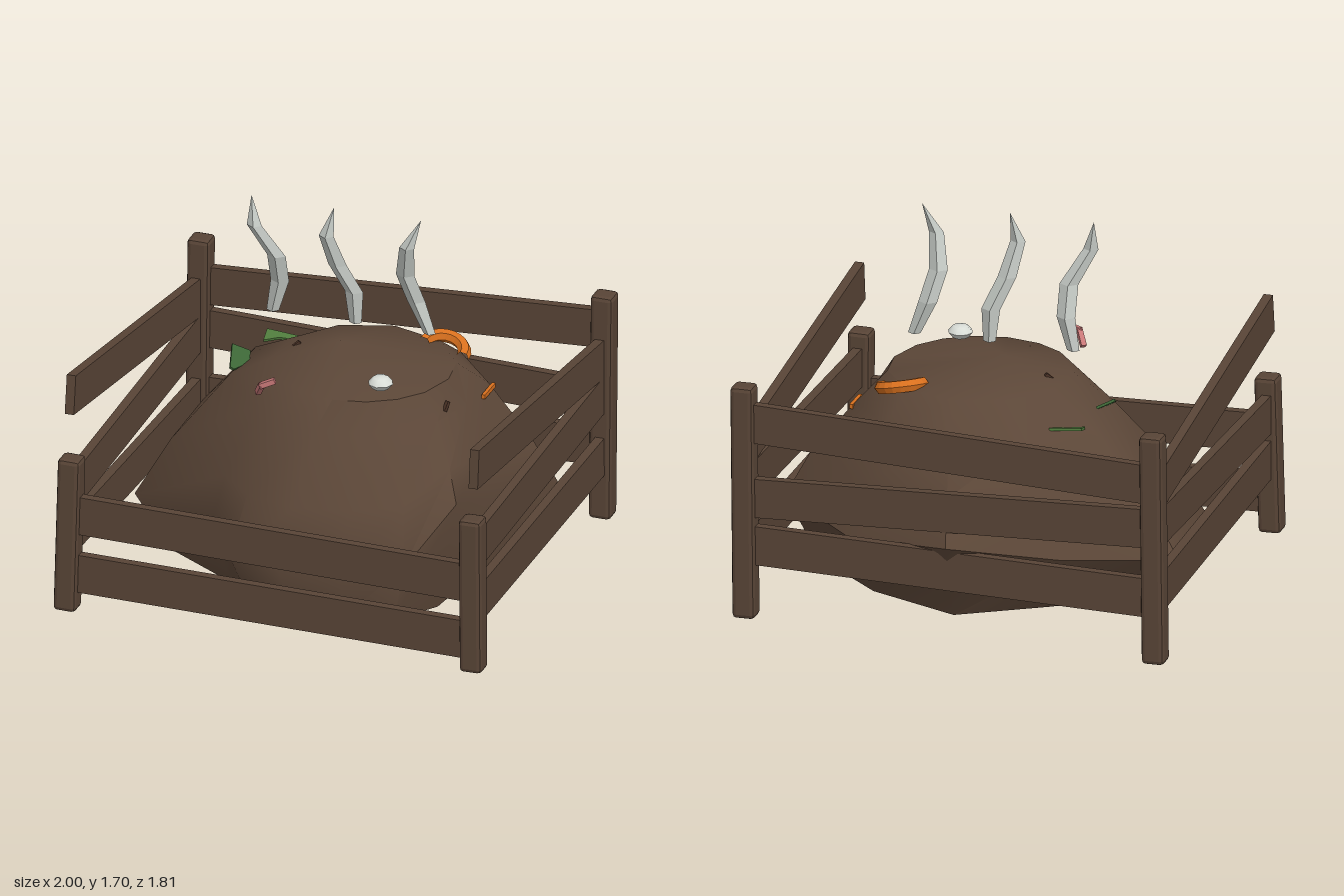
import * as THREE from 'three';
import { toCreasedNormals } from 'three/addons/utils/BufferGeometryUtils.js';
import { RoundedBoxGeometry } from 'three/addons/geometries/RoundedBoxGeometry.js';

const V = (x, y, z) => new THREE.Vector3(x, y, z);

// Joins closed rings of points, listed bottom to top and counter-clockwise from above
function loft(rings, crease) {
  const pos = [];
  const tri = (a, b, c) => {
    if (a.distanceTo(b) < 1e-5 || b.distanceTo(c) < 1e-5 || c.distanceTo(a) < 1e-5) return;
    pos.push(...a.toArray(), ...b.toArray(), ...c.toArray());
  };
  for (let i = 0; i < rings.length - 1; i++) {
    const n = rings[i].length;
    for (let j = 0; j < n; j++) {
      const k = (j + 1) % n;
      tri(rings[i][j], rings[i][k], rings[i + 1][k]);
      tri(rings[i][j], rings[i + 1][k], rings[i + 1][j]);
    }
  }
  const g = new THREE.BufferGeometry();
  g.setAttribute('position', new THREE.Float32BufferAttribute(pos, 3));
  g.computeVertexNormals();
  return crease ? toCreasedNormals(g, crease) : g;
}

export function createModel() {
  const model = new THREE.Group();
  const material = (name, color) => {
    const m = new THREE.MeshStandardMaterial({ color });
    m.name = name;
    return m;
  };
  const wood = material('wood', 0x584436);
  const soil = material('soil', 0x5c4738);
  const twig = material('twig', 0x4a3226);
  const smoke = material('steam', 0xc4c9c4);
  const shell = material('shell', 0xd8dcd6);
  const orange = material('orange peel', 0xd8701e);
  const leafGreen = material('leaf green', 0x4f7a3c);
  const darkGreen = material('dark green', 0x3c6636);
  const pink = material('pink', 0xc87878);

  const add = (name, geometry, mat, x = 0, y = 0, z = 0) => {
    const mesh = new THREE.Mesh(geometry, mat);
    mesh.name = name;
    mesh.position.set(x, y, z);
    model.add(mesh);
    return mesh;
  };

  // Chamfered corner posts, slightly leaning
  const post = (name, x, z, h, leanX, leanZ) => {
    const g = toCreasedNormals(new RoundedBoxGeometry(0.104, h, 0.104, 1, 0.02), 0.2);
    add(name, g, wood, x, h / 2, z).rotation.set(leanX, 0, leanZ);
  };
  post('frontRightPost', -0.94, 0.84, 0.73, -0.01, -0.025);
  post('frontLeftPost', 0.94, 0.84, 0.73, -0.01, 0.01);
  post('backRightPost', -0.94, -0.85, 1.06, 0.01, -0.015);
  post('backLeftPost', 0.94, -0.85, 1.08, 0.008, -0.012);

  // A square or flat bar running between two points
  const bar = (name, a, b, w, h, mat) => {
    const mesh = add(name, new THREE.BoxGeometry(w, h, a.distanceTo(b)), mat);
    mesh.position.copy(a).add(b).multiplyScalar(0.5);
    mesh.lookAt(b);
  };
  // Front and back boards: z, height at right end, height at left end
  for (const [name, z, y0, y1] of [
    ['frontPlank', 0.84, 0.18, 0.145], ['frontPlank', 0.84, 0.46, 0.42],
    ['backPlank', -0.85, 0.3, 0.34], ['backPlank', -0.85, 0.625, 0.56], ['backPlank', -0.85, 0.83, 0.91],
  ]) bar(name, V(-0.92, y0, z), V(0.92, y1, z), 0.042, 0.18, wood);
  // Side boards: x, height at back, height at front; the top ones hang free in front
  for (const [name, x, y0, y1] of [
    ['leftPlank', 0.94, 0.31, 0.3], ['leftPlank', 0.94, 0.61, 0.565], ['leftTopPlank', 0.94, 0.78, 0.96],
    ['rightPlank', -0.94, 0.3, 0.35], ['rightPlank', -0.94, 0.61, 0.56], ['rightTopPlank', -0.94, 0.78, 1.025],
  ]) bar(name, V(x, y0, -0.83), V(x, y1, 0.83), 0.042, 0.18, wood);

  // Compost heap: uneven outline (x, z, lift of the widest edge) that grows rounder towards the top
  const outline = [
    [0, 0.74, 0], [0.27, 0.69, 0], [0.54, 0.62, 0.05], [0.7, 0.39, 0.28], [0.74, 0.06, 0.18], [0.92, -0.33, 0.1],
    [0.51, -0.7, 0.08], [0, -0.91, 0.16], [-0.45, -0.64, 0.06], [-0.89, -0.33, 0], [-0.87, 0.19, 0],
    [-0.42, 0.48, 0], [-0.26, 0.66, 0],
  ];
  const levels = [ // height, scale, x shift, z shift, roundness, lift share
    [0.05, 0, 0, 0, 0, 0], [0.05, 0.83, 0.03, 0.06, 0, 0], [0.28, 1, 0, 0, 0, 1],
    [0.55, 0.88, 0.03, -0.02, 0.25, 0.5], [0.84, 0.68, 0.06, -0.09, 0.7, 0],
    [0.96, 0.51, 0.11, -0.05, 1, 0], [1.045, 0, 0, -0.06, 1, 0],
  ];
  const heap = levels.map(([y, s, dx, dz, round, share]) => outline.map(([x, z, lift]) => {
    const k = s * (1 - round + round * 0.8 / Math.hypot(x, z));
    return V(x * k + dx, y + lift * share, z * k + dz);
  }));
  add('compostHeap', loft(heap, 0.8), soil);

  // Steam wisps: tapering four-sided ribbons
  const heights = [1.12, 1.27, 1.41, 1.565, 1.7];
  const depths = [-0.11, -0.105, -0.06, -0.01, -0.03];
  const radii = [0.028, 0.042, 0.042, 0.034, 0];
  for (const xs of [
    [-0.335, -0.3, -0.3, -0.385, -0.405], [0.05, 0.045, -0.015, -0.05, -0.02], [0.395, 0.335, 0.3, 0.325, 0.385],
  ]) {
    const rings = xs.map((x, i) => [0, 1, 2, 3].map((k) => {
      const a = k * Math.PI / 2 + 0.1;
      return V(x + Math.sin(a) * radii[i], heights[i], depths[i] + Math.cos(a) * radii[i] * 0.75);
    }));
    const foot = rings[0].map(() => V(xs[0], heights[0], depths[0]));
    add('steamWisp', loft([foot, ...rings]), smoke);
  }

  // Curved peel and a loose strip of it
  const peel = new THREE.TorusGeometry(0.095, 0.03, 6, 10, Math.PI).toNonIndexed();
  peel.computeVertexNormals();
  add('peelCurl', peel, orange, 0.385, 0.95, -0.315).rotation.set(-Math.PI / 2 + 0.25, 0.2, -0.1);
  add('peelStrip', new THREE.BoxGeometry(0.016, 0.02, 0.135), orange, 0.622, 0.82, -0.245);

  // Leaf scraps, tilted towards the front left
  const scrap = (name, pts, mat, x, y, z, rx, rz) => {
    const shape = new THREE.Shape(pts.map(([px, pz]) => new THREE.Vector2(px, -pz)));
    const g = new THREE.ExtrudeGeometry(shape, { depth: 0.012, bevelEnabled: false });
    g.rotateX(-Math.PI / 2);
    add(name, g, mat, x, y, z).rotation.set(rx, 0, rz);
  };
  scrap('leafScrap', [[-0.07, -0.04], [0.08, -0.04], [0.07, -0.01], [0, 0], [-0.06, 0.04]],
    leafGreen, -0.4, 0.85, -0.375, 0.25, -0.1);
  scrap('leafScrap', [[-0.05, -0.06], [0.035, -0.08], [0.055, -0.01], [0.01, 0.075], [-0.01, 0.075]],
    darkGreen, -0.49, 0.872, -0.075, 0.25, -0.5);

  // Bent pink scrap
  bar('pinkScrap', V(-0.23, 0.95, 0.375), V(-0.195, 1.012, 0.42), 0.024, 0.024, pink);
  bar('pinkScrap', V(-0.205, 1.005, 0.42), V(-0.14, 1.033, 0.405), 0.024, 0.024, pink);

  // Pale shell disc
  const discProfile = [[0, -0.03], [0.035, -0.026], [0.057, 0], [0.035, 0.026], [0, 0.03]]
    .map(([x, y]) => new THREE.Vector2(x, y));
  const disc = toCreasedNormals(new THREE.LatheGeometry(discProfile, 8), 0.8);
  add('shellDisc', disc, shell, 0.29, 1.015, 0.23);

  // Small twigs poking out
  bar('twig', V(-0.245, 0.955, -0.08), V(-0.205, 0.99, -0.1), 0.016, 0.016, twig);
  bar('twig', V(0.54, 0.86, 0.1), V(0.55, 0.9, 0.08), 0.016, 0.016, twig);

  return model;
}
